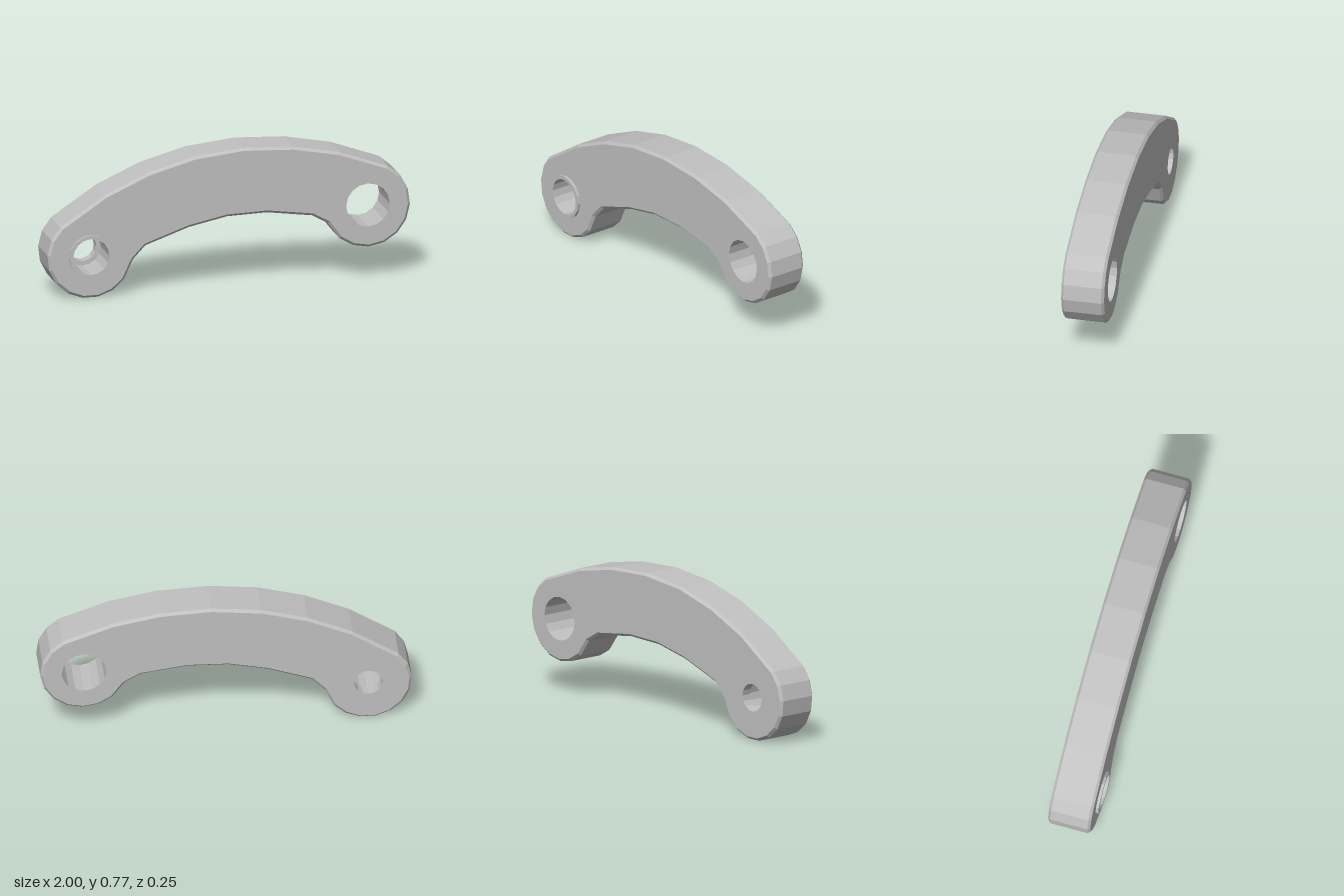
import * as THREE from 'three';

const LEFT = [-0.765, 0.238], RIGHT = [0.765, 0.418], END_R = 0.235;
const FRONT = 0.11, BACK = -0.125, CHAMFER = 0.014, SIDES = 16;

// Points along a circular arc, angles in degrees
function arc([cx, cy], r, from, to, steps) {
  return Array.from({ length: steps + 1 }, (_, i) => {
    const a = THREE.MathUtils.degToRad(from + (to - from) * i / steps);
    return new THREE.Vector2(cx + r * Math.cos(a), cy + r * Math.sin(a));
  });
}

// Move every side of a counter-clockwise outline inwards by d
function inset(pts, d) {
  const n = pts.length;
  return pts.map((p, i) => {
    const a = p.clone().sub(pts[(i + n - 1) % n]).normalize();
    const b = pts[(i + 1) % n].clone().sub(p).normalize();
    const na = new THREE.Vector2(-a.y, a.x), nb = new THREE.Vector2(-b.y, b.x);
    const m = na.clone().add(nb).normalize();
    return p.clone().addScaledVector(m, d / m.dot(na));
  });
}

// Walls joining copies of the outline, listed front to back
function wallGeometry(loops) {
  const pos = [];
  for (let k = 0; k < loops.length - 1; k++) {
    const A = loops[k], B = loops[k + 1], n = A.pts.length;
    for (let i = 0; i < n; i++) {
      const j = (i + 1) % n;
      const v = (L, q) => [L.pts[q].x, L.pts[q].y, L.z];
      pos.push(...v(B, i), ...v(B, j), ...v(A, j), ...v(B, i), ...v(A, j), ...v(A, i));
    }
  }
  const g = new THREE.BufferGeometry();
  g.setAttribute('position', new THREE.Float32BufferAttribute(pos, 3));
  g.computeVertexNormals();
  return g;
}

// Flat face with round holes
function faceGeometry(pts, holes, z, flip) {
  const shape = new THREE.Shape(pts);
  for (const [c, r] of holes) shape.holes.push(new THREE.Path(arc(c, r, 0, -360, SIDES).slice(0, SIDES)));
  const g = new THREE.ShapeGeometry(shape).translate(0, 0, z);
  if (flip) {
    g.index.array.reverse();
    g.computeVertexNormals();
  }
  return g;
}

// Revolved part with its axis along z
function turned(profile, [x, y]) {
  const pts = profile.map(([r, z]) => new THREE.Vector2(r, z));
  return new THREE.LatheGeometry(pts, SIDES).rotateX(Math.PI / 2).translate(x, y, 0);
}

export function createModel() {
  const group = new THREE.Group();
  const grey = new THREE.MeshStandardMaterial({ color: 0xc0c0c0, flatShading: true });
  grey.name = 'grey metal';
  const add = (name, geometry) => {
    const mesh = new THREE.Mesh(geometry, grey);
    mesh.name = name;
    group.add(mesh);
  };

  // Curved outline: left eye, underside, right eye, top
  const vec = (list) => list.map(([x, y]) => new THREE.Vector2(x, y));
  const outline = [
    ...arc(LEFT, END_R, 134, 323, 9),
    ...vec([[-0.53, 0.2], [-0.46, 0.275], [-0.22, 0.36], [-0.01, 0.405], [0.21, 0.412], [0.46, 0.378], [0.545, 0.33]]),
    ...arc(RIGHT, END_R, 229, 421, 9),
    ...vec([[0.61, 0.72], [0.355, 0.768], [0.08, 0.78], [-0.19, 0.75], [-0.44, 0.68], [-0.68, 0.572]]),
  ];
  const small = inset(outline, CHAMFER);

  // Link body with chamfered rims
  add('linkSides', wallGeometry([
    { pts: small, z: FRONT },
    { pts: outline, z: FRONT - CHAMFER },
    { pts: outline, z: BACK + CHAMFER },
    { pts: small, z: BACK },
  ]));
  add('frontFace', faceGeometry(small, [[LEFT, 0.1], [RIGHT, 0.12]], FRONT, false));
  add('backFace', faceGeometry(small, [[LEFT, 0.076], [RIGHT, 0.12]], BACK, true));

  // Large plain bore
  add('largeBore', turned([[0.12, FRONT], [0.12, BACK]], RIGHT));

  // Raised collar with a stepped bore
  add('collarAndSmallBore', turned([
    [0.12, FRONT], [0.12, 0.125], [0.1, 0.125], [0.1, -0.07], [0.076, -0.07], [0.076, BACK],
  ], LEFT));

  return group;
}
